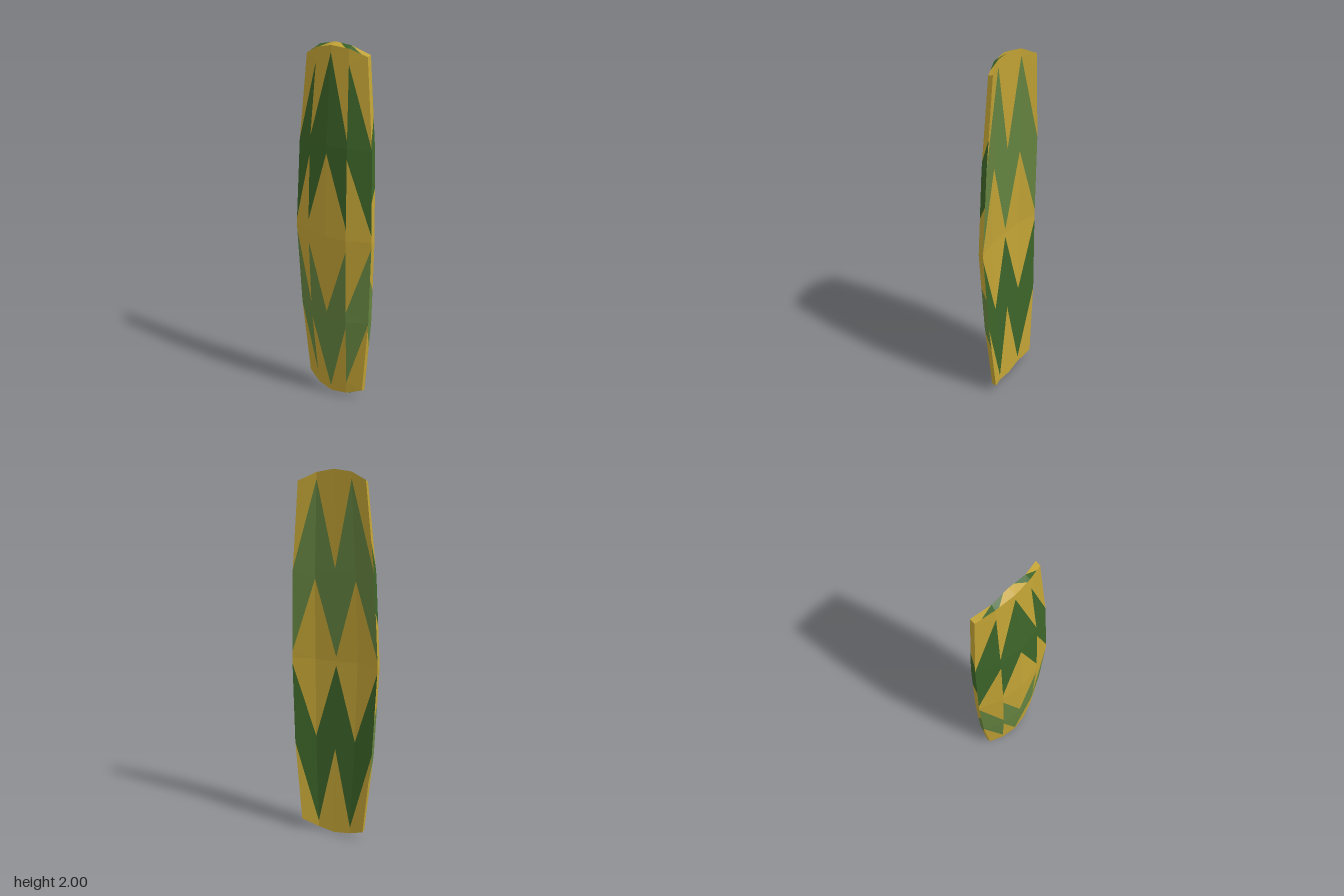
import * as THREE from 'three';

// Cross-sections [x, y, z] for centre, middle and edge columns of one quarter;
// rows run from the waist (w = 0) to the tip (w = 2), y measured from the waist.
const FRONT = [
  [[0, 0, 0.061], [0.127, 0, 0.046], [0.255, 0, -0.008]],
  [[0, 0.49, 0.046], [0.12, 0.49, 0.032], [0.235, 0.48, -0.022]],
  [[0, 0.985, 0.005], [0.1, 0.972, -0.008], [0.19, 0.936, -0.037]],
];
const BACK = [
  [[0, 0, -0.004], [0.127, 0, -0.004], [0.255, 0, -0.035]],
  [[0, 0.49, -0.018], [0.118, 0.49, -0.018], [0.235, 0.48, -0.051]],
  [[0, 1, -0.032], [0.097, 0.986, -0.032], [0.19, 0.944, -0.063]],
];

const lerp = (a, b, t) => a.map((v, i) => v + (b[i] - v) * t);

// Point on a skin by column u and row w
function skin(grid, u, w) {
  const i = Math.min(1, Math.floor(u)), j = Math.min(1, Math.floor(w));
  return lerp(lerp(grid[j][i], grid[j][i + 1], u - i),
    lerp(grid[j + 1][i], grid[j + 1][i + 1], u - i), w - j);
}

// Point in the shell: t = 0 on the front skin, 1 on the back skin
const point = ([u, w, t]) => lerp(skin(FRONT, u, w), skin(BACK, u, w), t);

// Keep the part of a polygon above (side 1) or below (side -1) the fold at w = 1
function clip(poly, side) {
  const out = [];
  poly.forEach((p, i) => {
    const q = poly[(i + 1) % poly.length];
    const a = (p[1] - 1) * side, b = (q[1] - 1) * side;
    if (a >= 0) out.push(p);
    if (a * b < 0) out.push(lerp(p, q, a / (a - b)));
  });
  return out;
}

export function createModel() {
  const group = new THREE.Group();
  const make = (name, color) => {
    const m = new THREE.MeshStandardMaterial({ color });
    m.name = name;
    return m;
  };
  const gold = make('gold', 0xc2a335);
  const dark = make('darkGreen', 0x3c6429);
  const light = make('lightGreen', 0x658440);
  const parts = new Map();

  // Add one polygon to a named part, mirrored by sx and sy
  function add(part, mat, poly, sx, sy, reverse = false) {
    const name = part + mat.name[0].toUpperCase() + mat.name.slice(1);
    if (!parts.has(name)) parts.set(name, { mat, pos: [] });
    const { pos } = parts.get(name);
    const flip = (sx * sy < 0) !== reverse;
    for (const side of [-1, 1]) {
      const pts = clip(poly, side).map(point).map(([x, y, z]) => [sx * x, 1 + sy * y, z]);
      for (let i = 1; i < pts.length - 1; i++) {
        const [b, c] = flip ? [pts[i + 1], pts[i]] : [pts[i], pts[i + 1]];
        pos.push(...pts[0], ...b, ...c);
      }
    }
  }

  // A column panel split into gold, green and gold by two slanted lines
  function panel(part, green, u, t, low, high, sx, sy) {
    const lines = [[0, 0], low, high, [2, 2]];
    [gold, green, gold].forEach((mat, k) => {
      const a = lines[k], b = lines[k + 1];
      add(part, mat, [[u, a[0], t], [u + 1, a[1], t], [u + 1, b[1], t], [u, b[0], t]],
        sx, sy, t === 1);
    });
  }

  for (const sx of [1, -1]) for (const sy of [1, -1]) {
    const face = sy > 0 ? dark : light, rear = sy > 0 ? light : dark;
    // Zigzag front
    panel('front', face, 0, 0, [0.92, 0.13], [1.93, 1.07], sx, sy);
    panel('front', face, 1, 0, [0.88, 0.07], [1.85, 1.02], sx, sy);
    // Zigzag back
    panel('back', rear, 0, 1, [0.05, 0.9], [1.02, 1.93], sx, sy);
    panel('back', rear, 1, 1, [0.9, 0.07], [1.93, 1.02], sx, sy);
    // Side rim with a slanted green band
    const bands = [[0, 0], [0.45, 0.6], [1.1, 1.35], [2, 2]];
    [gold, face, gold].forEach((mat, k) => {
      const a = bands[k], b = bands[k + 1];
      add('rim', mat, [[2, a[0], 0], [2, a[1], 1], [2, b[1], 1], [2, b[0], 0]], sx, sy);
    });
    // End caps
    const cap = (mat, pts) => add('endCap', mat, pts.map(([u, t]) => [u, 2, t]), sx, sy);
    cap(gold, [[0, 0], [0.8, 0], [0.32, 1], [0, 1]]);
    cap(face, [[0.8, 0], [1, 0], [1, 1], [0.32, 1]]);
    cap(face, [[1, 0], [1.65, 0], [1, 1]]);
    cap(gold, [[1.65, 0], [2, 0], [2, 1], [1, 1]]);
  }

  for (const [name, { mat, pos }] of parts) {
    const geo = new THREE.BufferGeometry();
    geo.setAttribute('position', new THREE.Float32BufferAttribute(pos, 3));
    geo.computeVertexNormals();
    const mesh = new THREE.Mesh(geo, mat);
    mesh.name = name;
    group.add(mesh);
  }
  group.name = 'shield';
  return group;
}
